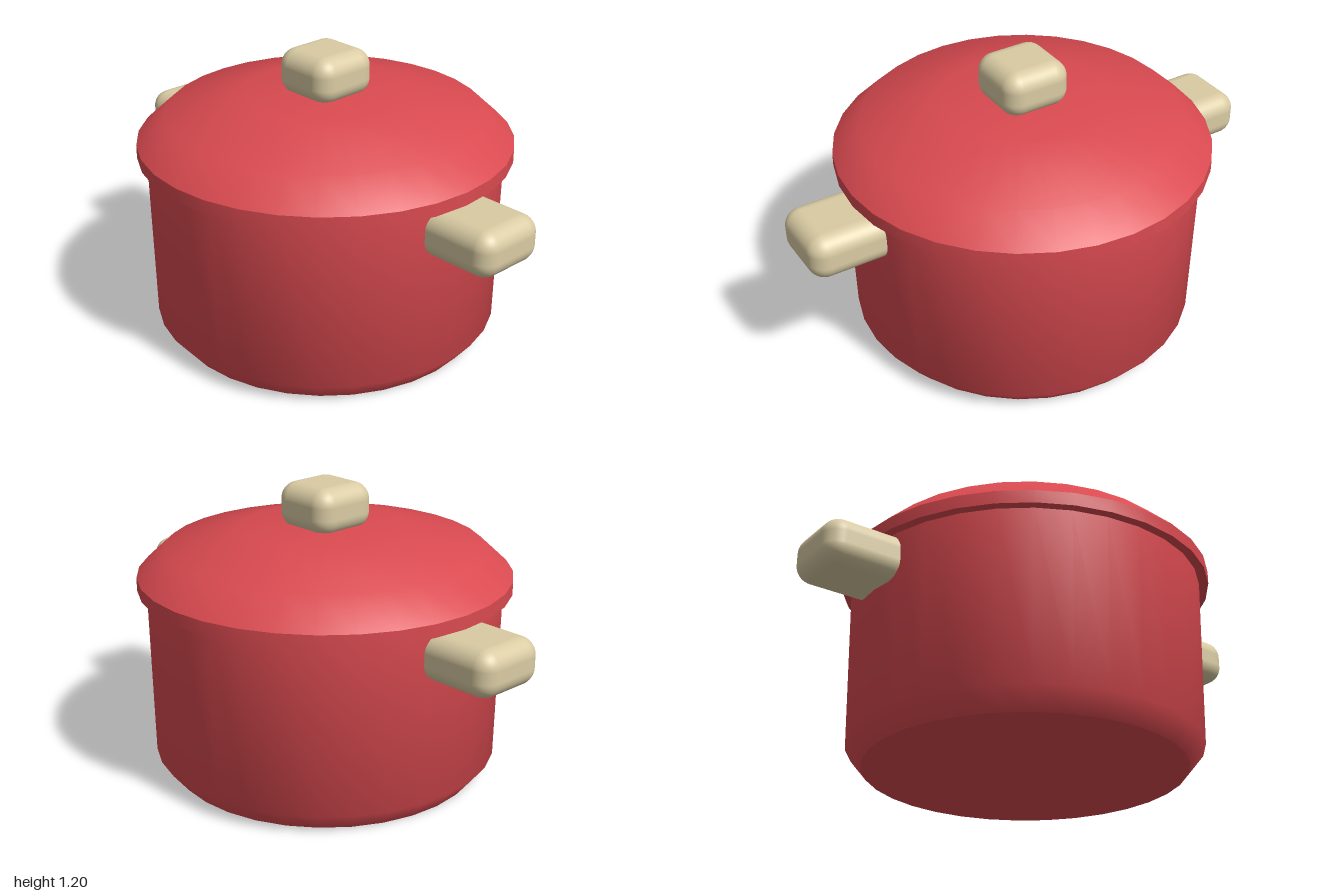
import * as THREE from 'three';
import { toCreasedNormals } from 'three/addons/utils/BufferGeometryUtils.js';
import { RoundedBoxGeometry } from 'three/addons/geometries/RoundedBoxGeometry.js';

export function createModel() {
  const red = new THREE.MeshStandardMaterial({ color: 0xd94a50 });
  red.name = 'red enamel';
  const beige = new THREE.MeshStandardMaterial({ color: 0xd9cba3 });
  beige.name = 'beige grip';

  const group = new THREE.Group();
  group.name = 'cookingPot';

  const add = (name, geometry, material, x = 0, y = 0) => {
    const mesh = new THREE.Mesh(geometry, material);
    mesh.name = name;
    mesh.position.set(x, y, 0);
    group.add(mesh);
  };

  // Turned part from [radius, height] pairs, with only sharp corners creased
  const turned = (profile) => toCreasedNormals(
    new THREE.LatheGeometry(profile.map(([r, y]) => new THREE.Vector2(r, y)), 32), 0.74);

  // Pot body with a chamfered foot
  add('potBody', turned([[0, 0], [0.645, 0], [0.71, 0.08], [0.722, 0.78], [0, 0.78]]), red);

  // Lid: overhanging rim and shallow dome
  add('lid', turned([
    [0, 0.777], [0.76, 0.777], [0.76, 0.83], [0.645, 0.937], [0.325, 1.02], [0, 1.03],
  ]), red);

  // Lid knob, sunk slightly into the dome
  add('lidKnob', new RoundedBoxGeometry(0.288, 0.19, 0.288, 5, 0.07), beige, 0, 1.1);

  // Side handles, their inner ends buried in the body
  for (const [name, side] of [['leftHandle', 1], ['rightHandle', -1]]) {
    add(name, new RoundedBoxGeometry(0.37, 0.188, 0.314, 5, 0.07), beige, side * 0.815, 0.681);
  }

  return group;
}
